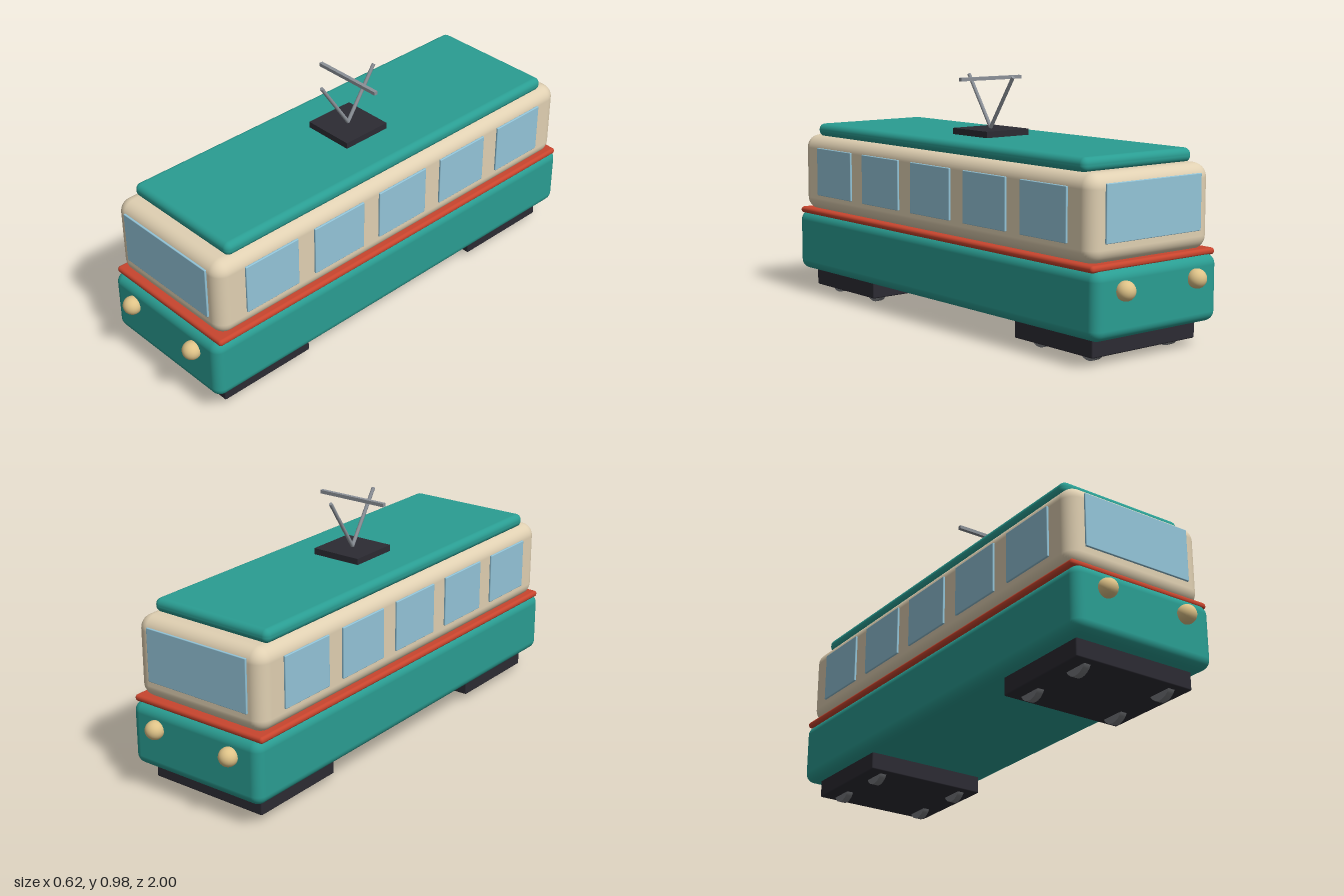
import * as THREE from 'three';
import { RoundedBoxGeometry } from 'three/addons/geometries/RoundedBoxGeometry.js';

const material = (name, color) => {
  const m = new THREE.MeshStandardMaterial({ color });
  m.name = name;
  return m;
};

export function createModel() {
  const tram = new THREE.Group();
  tram.name = 'tram';

  const teal = material('teal paint', 0x2a9d92);
  const cream = material('cream paint', 0xe0d0b2);
  const red = material('red trim', 0xc8452e);
  const glass = material('window blue', 0x93c4d8);
  const dark = material('dark undercarriage', 0x2c2b33);
  const steel = material('wheel grey', 0x77797d);
  const metal = material('pantograph grey', 0x8c9198);
  const lampColor = material('warm lamp', 0xdfc388);

  const add = (name, geometry, mat, x, y, z) => {
    const mesh = new THREE.Mesh(geometry, mat);
    mesh.name = name;
    mesh.position.set(x, y, z);
    tram.add(mesh);
    return mesh;
  };
  // Rounded box given by width, bottom, top and length
  const shell = (name, mat, w, y0, y1, l, r, z = 0) =>
    add(name, new RoundedBoxGeometry(w, y1 - y0, l, 5, r), mat, 0, (y0 + y1) / 2, z);

  // Body shells
  shell('lowerBody', teal, 0.62, 0.1, 0.355, 1.9, 0.04);
  shell('beltTrim', red, 0.622, 0.347, 0.373, 1.86, 0.012);
  shell('upperBody', cream, 0.604, 0.365, 0.69, 1.832, 0.055);
  shell('roof', teal, 0.545, 0.685, 0.74, 1.69, 0.025);

  // Side windows
  for (const side of [-1, 1]) {
    for (let i = -2; i <= 2; i++) {
      add('sideWindow', new RoundedBoxGeometry(0.0095, 0.204, 0.252, 2, 0.003), glass,
        side * 0.306, 0.538, i * 0.334);
    }
  }

  for (const end of [-1, 1]) {
    // End window and headlamps
    add('endWindow', new RoundedBoxGeometry(0.476, 0.213, 0.0095, 2, 0.003), glass, 0, 0.549, end * 0.92);
    for (const side of [-1, 1]) {
      add('headlamp', new THREE.SphereGeometry(0.037, 24, 16), lampColor, side * 0.18, 0.277, end * 0.963);
    }

    // Bogie with four wheels
    shell('bogie', dark, 0.52, 0.03, 0.115, 0.426, 0.006, end * 0.668);
    for (const side of [-1, 1]) {
      for (const dz of [-0.133, 0.133]) {
        const wheel = add('wheel', new THREE.CylinderGeometry(0.057, 0.057, 0.028, 24), steel,
          side * 0.19, 0.057, end * 0.668 + dz);
        wheel.rotation.z = Math.PI / 2;
      }
    }

    // Slanted pantograph arm
    const foot = new THREE.Vector3(0, 0.768, 0);
    const tip = new THREE.Vector3(0, 0.975, end * 0.138);
    const dir = tip.clone().sub(foot);
    const arm = add('pantographArm', new THREE.CylinderGeometry(0.0075, 0.0075, dir.length(), 12), metal,
      0, (foot.y + tip.y) / 2, tip.z / 2);
    arm.quaternion.setFromUnitVectors(new THREE.Vector3(0, 1, 0), dir.normalize());
  }

  // Pantograph base and contact bar
  add('pantographBase', new THREE.BoxGeometry(0.214, 0.03, 0.214), dark, 0, 0.75, 0);
  add('contactBar', new THREE.BoxGeometry(0.308, 0.014, 0.016), metal, 0, 0.965, 0);

  return tram;
}
